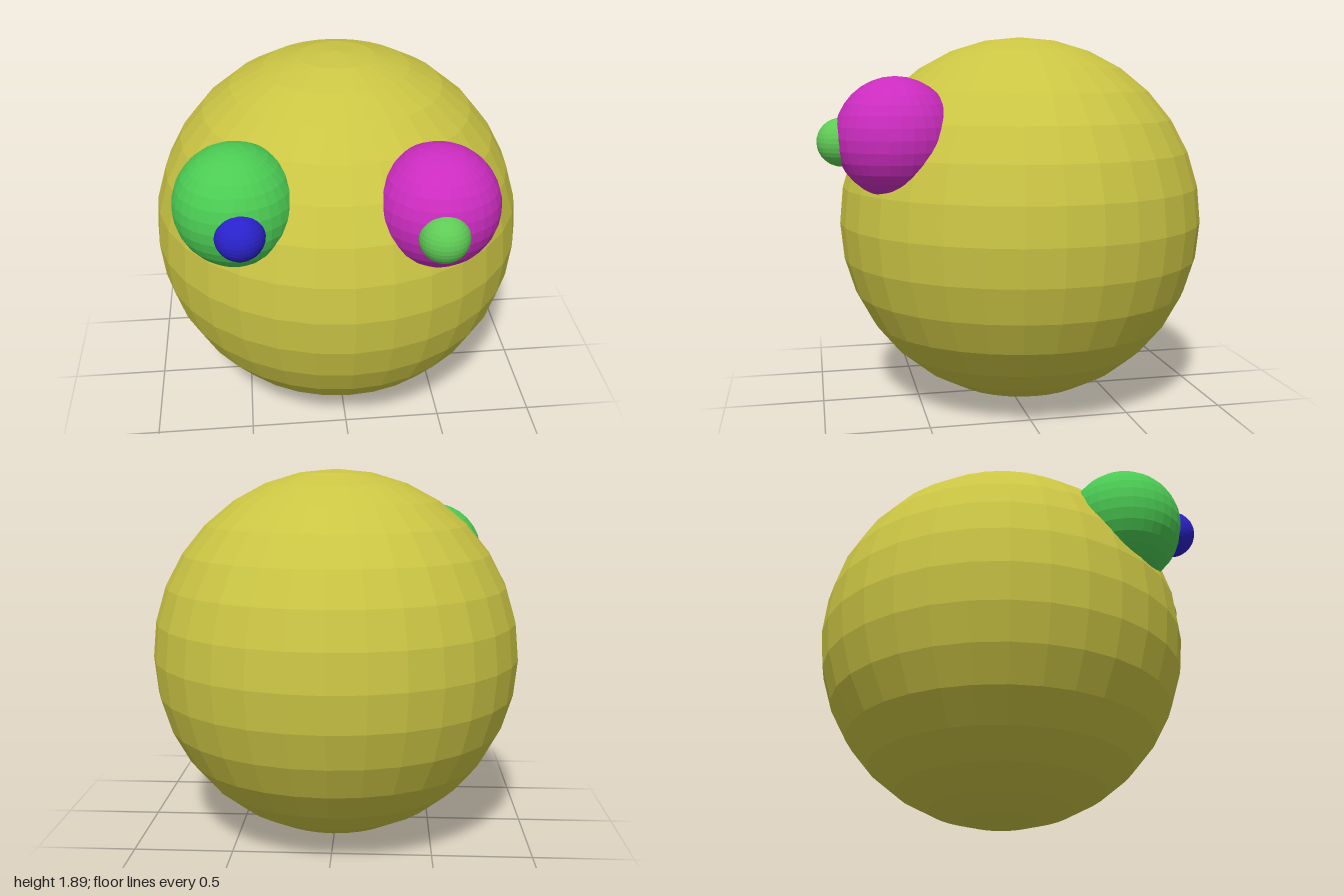
import * as THREE from 'three';

// Faceted ball of a given colour
function ball(name, radius, color, position) {
  const material = new THREE.MeshStandardMaterial({ color, flatShading: true });
  const mesh = new THREE.Mesh(new THREE.SphereGeometry(radius, 32, 16), material);
  mesh.name = name;
  mesh.position.set(...position);
  return mesh;
}

// Eyeball with a small pupil set into its front
function eye(name, position, eyeColor, pupilColor, pupilOffset) {
  const group = new THREE.Group();
  group.name = name;
  group.position.set(...position);
  group.add(
    ball('eyeball', 0.287, eyeColor, [0, 0, 0]),
    ball('pupil', 0.114, pupilColor, pupilOffset),
  );
  return group;
}

export function createModel() {
  const model = new THREE.Group();
  model.name = 'roundHead';
  model.add(
    ball('head', 0.945, 0xcbc544, [0, 0.945, -0.055]),
    eye('rightEye', [-0.517, 1.404, 0.542], 0x4bcb53, 0x2a22cb, [0.017, -0.019, 0.246]),
    eye('leftEye', [0.4, 1.404, 0.632], 0xcb2cbf, 0x5fcb55, [-0.018, -0.019, 0.254]),
  );
  return model;
}
